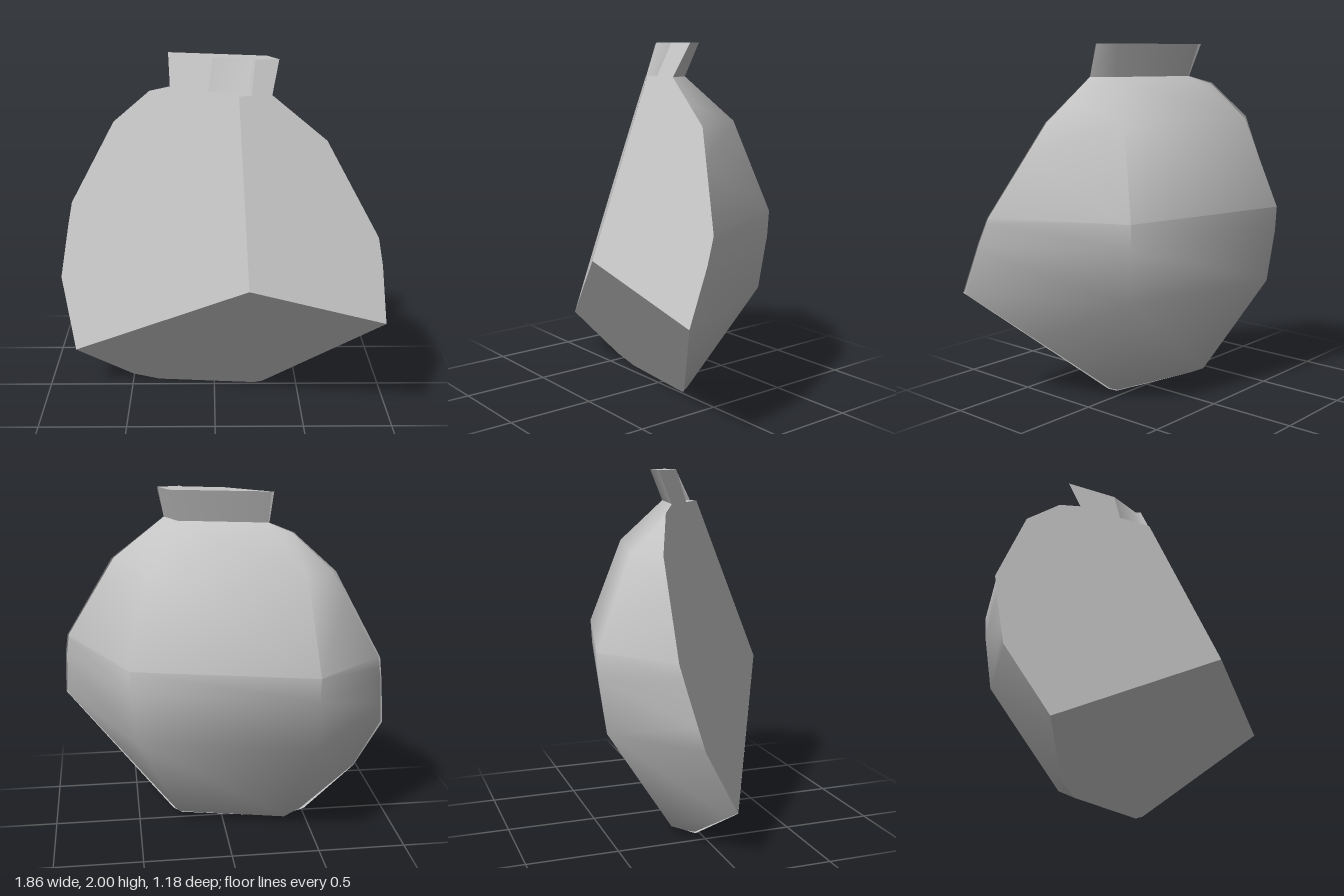
import * as THREE from 'three';
import { toCreasedNormals } from 'three/addons/utils/BufferGeometryUtils.js';

// Three break planes meeting at one corner: z = corner.z + a * dx + b * dy
const corner = new THREE.Vector3(0.18, 0.86, 0.585);
const breaks = {
  left: { a: 0.757, b: -0.382 },
  right: { a: -0.189, b: -0.432 },
  lower: { a: 0.125, b: 0.681 },
};
const planeZ = (p, x, y) => corner.z + p.a * (x - corner.x) + p.b * (y - corner.y);

// Keep the part of a polygon that lies behind a break plane
function clip(poly, plane) {
  const out = [];
  const dist = (v) => planeZ(plane, v.x, v.y) - v.z;
  poly.forEach((v, i) => {
    const w = poly[(i + 1) % poly.length];
    const dv = dist(v), dw = dist(w);
    if (dv >= 0) out.push(v);
    if ((dv >= 0) !== (dw >= 0)) out.push(v.clone().lerp(w, dv / (dv - dw)));
  });
  return out;
}

// Seven-sided jar with a flared neck and a shallow mouth, cut by the breaks
function shellGeometry() {
  const profile = [
    [0, -0.02], [0.645, 0], [0.73, 0.04], [1.13, 0.64], [1.175, 0.94], [1.183, 1.08],
    [0.977, 1.58], [0.71, 1.82], [0.785, 2], [0.65, 2], [0.592, 1.82], [0, 1.82],
  ].map(([r, y]) => new THREE.Vector2(r, y));
  const jar = new THREE.LatheGeometry(profile, 7, 2.465).toNonIndexed();
  jar.translate(-0.2, 0, 0.563);

  const pos = jar.attributes.position;
  const points = [];
  const tri = new THREE.Triangle();
  for (let i = 0; i < pos.count; i += 3) {
    let poly = [0, 1, 2].map((k) => new THREE.Vector3().fromBufferAttribute(pos, i + k));
    for (const plane of Object.values(breaks)) poly = clip(poly, plane);
    for (let k = 1; k < poly.length - 1; k++) {
      tri.set(poly[0], poly[k], poly[k + 1]);
      if (tri.getArea() > 1e-7) points.push(poly[0], poly[k], poly[k + 1]);
    }
  }
  const geo = new THREE.BufferGeometry().setFromPoints(points);
  return toCreasedNormals(geo, 0.95);
}

// Flat break face: a front outline laid onto its plane
function breakGeometry(outline, plane) {
  const shape = new THREE.Shape(outline.map(([x, y]) => new THREE.Vector2(x, y)));
  const geo = new THREE.ShapeGeometry(shape);
  const pos = geo.attributes.position;
  for (let i = 0; i < pos.count; i++) pos.setZ(i, planeZ(plane, pos.getX(i), pos.getY(i)));
  geo.computeVertexNormals();
  return geo;
}

export function createModel() {
  const group = new THREE.Group();
  group.name = 'jarFragment';
  const grey = new THREE.MeshStandardMaterial({ color: 0xc4c4c4 });
  grey.name = 'plain grey';
  grey.side = THREE.DoubleSide;

  const add = (name, geometry) => {
    const mesh = new THREE.Mesh(geometry, grey);
    mesh.name = name;
    group.add(mesh);
  };

  // Outer wall, neck and mouth
  add('jarWall', shellGeometry());

  // Broken faces
  const P = [corner.x, corner.y];
  add('leftBreak', breakGeometry([
    P, [0.13, 1.82], [-0.035, 1.82], [-0.01, 2], [-0.26, 2], [-0.25, 1.82], [-0.37, 1.78],
    [-0.59, 1.58], [-0.86, 1.08], [-0.885, 0.94], [-0.93, 0.64], [-0.83, 0.26],
  ], breaks.left));
  add('rightBreak', breakGeometry([
    P, [0.925, 0.65], [0.91, 0.94], [0.89, 1.08], [0.61, 1.58], [0.31, 1.82],
    [0.35, 2], [0.22, 2], [0.2, 1.82], [0.13, 1.82],
  ], breaks.right));
  add('lowerBreak', breakGeometry([
    P, [-0.83, 0.26], [-0.5, 0.04], [-0.34, 0], [0.24, 0.02], [0.29, 0.04], [0.925, 0.65],
  ], breaks.lower));

  return group;
}
